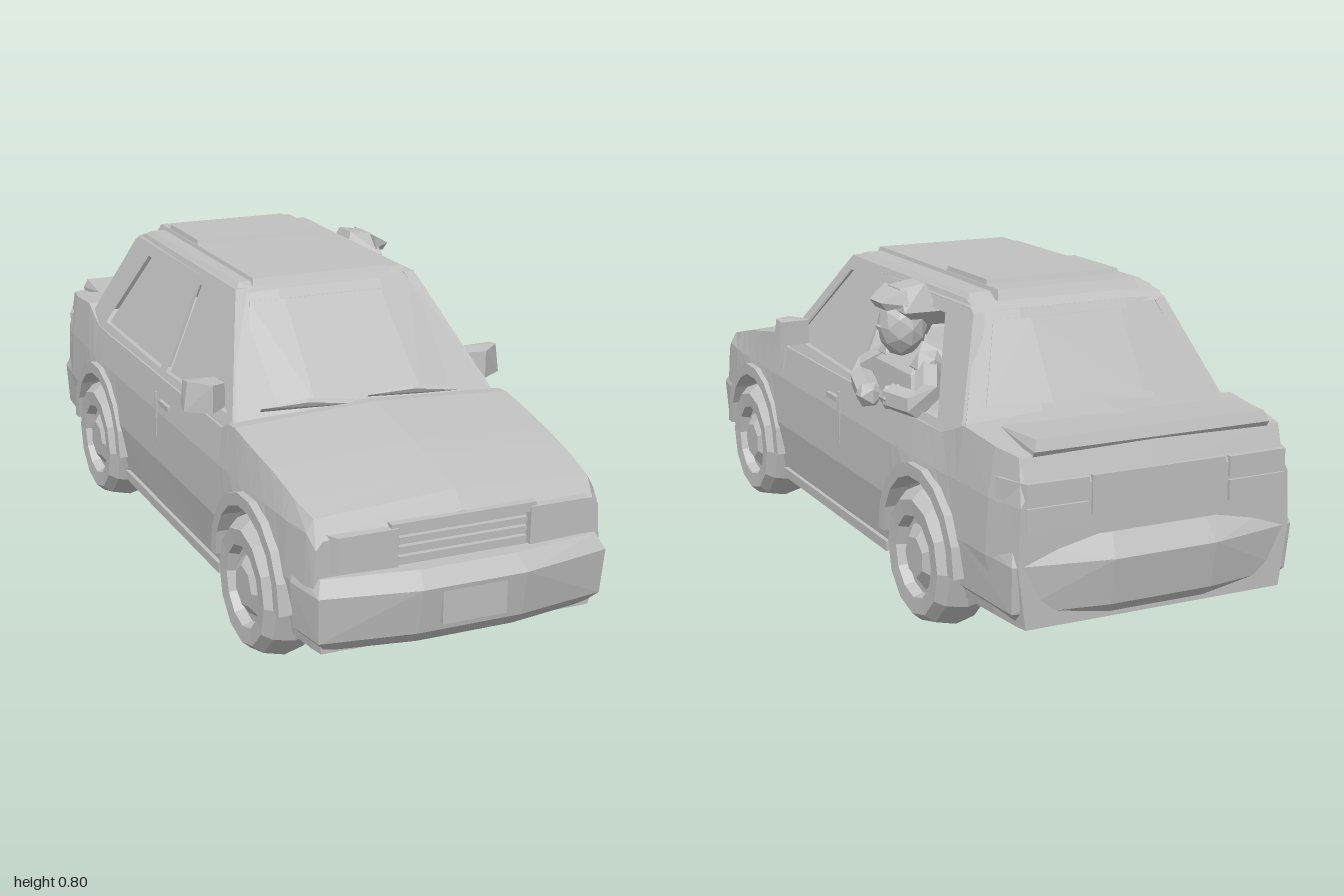
import * as THREE from 'three';
import { ConvexGeometry } from 'three/addons/geometries/ConvexGeometry.js';

const V = (p) => new THREE.Vector3(...p);
const SIDES = [1, -1];

export function createModel() {
  const car = new THREE.Group();
  car.name = 'sedan';
  const grey = new THREE.MeshStandardMaterial({ color: 0xc0c0c0, flatShading: true });
  grey.name = 'plain grey';

  const add = (name, geo, pos = [0, 0, 0], parent = car) => {
    const m = new THREE.Mesh(geo, grey);
    m.name = name;
    m.position.set(...pos);
    parent.add(m);
    return m;
  };
  const box = (name, size, pos) => add(name, new THREE.BoxGeometry(...size), pos);
  const hull = (name, pts, parent) => add(name, new ConvexGeometry(pts.map(V)), [0, 0, 0], parent);
  // Convex part symmetrical about x = 0, given by its +x points
  const symHull = (name, pts) => hull(name, pts.flatMap(([x, y, z]) => [[x, y, z], [-x, y, z]]));
  // Extrudes a (z, y) outline along x, centred on x = 0
  const sideExtrude = (outline, holes, depth) => {
    const path = (pts) => pts.map(([z, y]) => new THREE.Vector2(-z, y));
    const shape = new THREE.Shape(path(outline));
    holes.forEach((h) => shape.holes.push(new THREE.Path(path(h))));
    const g = new THREE.ExtrudeGeometry(shape, { depth, bevelEnabled: false });
    return g.rotateY(Math.PI / 2).translate(-depth / 2, 0, 0);
  };
  const lerpTable = (table, z) => {
    let i = 1;
    while (i < table.length - 1 && z > table[i][0]) i++;
    const [a, b] = [table[i - 1], table[i]];
    return THREE.MathUtils.mapLinear(THREE.MathUtils.clamp(z, a[0], b[0]), a[0], b[0], a[1], b[1]);
  };

  // Lower body: cross-sections along z, the underside rising over the wheels
  const axles = [-0.53, 0.61], axleY = 0.17, archR = 0.19;
  const topLine = [[-0.96, 0.45], [-0.93, 0.525], [-0.7, 0.545], [-0.62, 0.505], [0.39, 0.505],
    [0.45, 0.535], [0.7, 0.495], [0.89, 0.45], [0.925, 0.41]];
  const widthLine = [[-0.96, 0.9], [-0.85, 0.96], [-0.5, 1], [0.55, 1], [0.85, 0.97], [0.925, 0.93]];
  const stations = topLine.map(([z]) => [z, 0.125]);
  stations.push([-0.05, 0.12], [-0.85, 0.13]);
  for (const c of axles) {
    const lo = c - archR - 0.004, hi = c + archR + 0.004;
    for (let i = stations.length - 1; i >= 0; i--) {
      if (stations[i][0] > lo && stations[i][0] < hi) stations.splice(i, 1);
    }
    stations.push([lo, 0.125], [hi, 0.125]);
    for (let k = 0; k <= 8; k++) {
      const a = (k / 8) * Math.PI;
      stations.push([c + archR * Math.cos(a), axleY + archR * Math.sin(a)]);
    }
  }
  stations.sort((a, b) => a[0] - b[0]);
  const rings = stations.map(([z, yb]) => {
    const f = lerpTable(widthLine, z), t = lerpTable(topLine, z);
    const half = [[0.365 * f, yb], [0.387 * f, Math.max(0.27, yb + 0.005)], [0.38 * f, Math.min(0.4, t - 0.04)], [0.362 * f, t - 0.02]];
    const left = half.map(([x, y]) => [-x, y]).reverse();
    return [[0, yb], ...half, [0, t], ...left].map(([x, y]) => [x, y, z]);
  });
  const pos = [], n = rings[0].length;
  for (let i = 0; i < rings.length - 1; i++) {
    for (let j = 0; j < n; j++) {
      const k = (j + 1) % n, a = rings[i], b = rings[i + 1];
      pos.push(...a[j], ...a[k], ...b[k], ...a[j], ...b[k], ...b[j]);
    }
  }
  const last = rings[rings.length - 1];
  for (let j = 1; j < n - 1; j++) {
    pos.push(...last[0], ...last[j], ...last[j + 1], ...rings[0][0], ...rings[0][j + 1], ...rings[0][j]);
  }
  const bodyGeo = new THREE.BufferGeometry();
  bodyGeo.setAttribute('position', new THREE.Float32BufferAttribute(pos, 3));
  bodyGeo.computeVertexNormals();
  add('body', bodyGeo);
  box('floorPan', [0.5, 0.28, 1.78], [0, 0.24, -0.01]);

  // Bumpers
  for (const [name, d, inner, top] of [['frontBumper', 1, 0.84, 0.305], ['rearBumper', -1, 0.72, 0.32]]) {
    symHull(name, [[0.34, 0.13, inner], [0.33, 0.13, 0.92], [0.12, 0.13, 0.955],
      [0.37, 0.16, inner], [0.355, 0.16, 0.945], [0.13, 0.16, 0.98],
      [0.378, 0.27, inner], [0.36, 0.27, 0.955], [0.13, 0.27, 1],
      [0.365, top, inner], [0.345, top, 0.93], [0.12, top, 0.965]].map(([x, y, z]) => [x, y, z * d]));
  }
  box('frontPlate', [0.16, 0.09, 0.03], [0, 0.225, 0.983]);

  // Cabin sides lean inward with height; the left rear window stays open
  const cabinX = (y) => 0.352 - (y - 0.49) * 0.4;
  const lean = (geo, s, offset = 0) => {
    const p = geo.attributes.position;
    for (let i = 0; i < p.count; i++) p.setX(i, p.getX(i) + s * (cabinX(p.getY(i)) - offset));
    geo.computeVertexNormals();
    return geo;
  };
  const sideOutline = [[0.45, 0.48], [0.19, 0.765], [-0.5, 0.765], [-0.555, 0.74], [-0.7, 0.48]];
  const frontWindow = [[0.38, 0.515], [0.175, 0.73], [-0.04, 0.73], [-0.04, 0.5]];
  const rearWindow = [[-0.085, 0.5], [-0.085, 0.725], [-0.42, 0.72], [-0.56, 0.505]];
  for (const s of SIDES) {
    const tag = s > 0 ? 'left' : 'right';
    add(tag + 'CabinFrame', lean(sideExtrude(sideOutline, [frontWindow, rearWindow], 0.03), s, 0.012));
    add(tag + 'FrontGlass', lean(sideExtrude(frontWindow, [], 0.008), s, 0.014));
    if (s < 0) add('rightRearGlass', lean(sideExtrude(rearWindow, [], 0.008), s, 0.014));
  }

  // Roof, sunroof, windscreen and back window
  symHull('roof', [[0.25, 0.75, 0.2], [0.254, 0.75, -0.54], [0.225, 0.775, 0.16], [0.23, 0.775, -0.48],
    [0.23, 0.735, -0.56], [0.2, 0.765, 0.19]]);
  const panel = (name, x0, x1, z0, z1, y) => hull(name, [x0, x1].flatMap((x) => [z0, z1].flatMap((z) =>
    [[x, 0.76, z], [x * 0.96, y, z + (z < (z0 + z1) / 2 ? 0.015 : -0.015)]])));
  panel('roofPanel', -0.2, 0.18, -0.53, 0.19, 0.784);
  panel('sunroof', -0.195, 0.175, -0.46, -0.22, 0.796);
  symHull('windscreen', [[0.345, 0.49, 0.445], [0.15, 0.5, 0.465], [0.245, 0.755, 0.195], [0.14, 0.76, 0.205],
    [0.335, 0.49, 0.42], [0.235, 0.75, 0.175]]);
  symHull('windscreenGlass', [[0.3, 0.53, 0.405], [0.14, 0.535, 0.44], [0.22, 0.738, 0.218], [0.13, 0.74, 0.23],
    [0.3, 0.525, 0.395], [0.22, 0.73, 0.21]]);
  symHull('backWindow', [[0.345, 0.5, -0.695], [0.15, 0.51, -0.71], [0.245, 0.74, -0.55], [0.14, 0.745, -0.56],
    [0.335, 0.5, -0.67], [0.235, 0.74, -0.53]]);
  symHull('backWindowGlass', [[0.28, 0.55, -0.672], [0.12, 0.55, -0.694], [0.21, 0.725, -0.566], [0.12, 0.725, -0.58],
    [0.28, 0.55, -0.66], [0.21, 0.72, -0.555]]);
  for (const x of [-0.16, 0.12]) {
    hull('wiper', [[x - 0.12, 0.525, 0.43], [x - 0.12, 0.535, 0.44], [x, 0.548, 0.44], [x, 0.54, 0.45],
      [x + 0.12, 0.522, 0.45], [x + 0.12, 0.53, 0.44]]);
  }

  // Grille, lamps, trunk details
  box('grilleTop', [0.36, 0.022, 0.03], [0, 0.398, 0.925]);
  for (const y of [0.325, 0.348, 0.37]) box('grilleSlat', [0.32, 0.01, 0.025], [0, y, 0.925]);
  symHull('trunkLip', [[0.3, 0.535, -0.78], [0.3, 0.515, -0.94], [0.29, 0.54, -0.93], [0.3, 0.5, -0.93]]);
  box('rearPanel', [0.34, 0.09, 0.03], [0, 0.41, -0.95]);
  for (const s of SIDES) {
    hull('headlight', [[0.165, 0.31], [0.165, 0.4], [0.31, 0.4], [0.31, 0.315]].flatMap(([x, y]) =>
      [[s * x, y, 0.9], [s * x, y, 0.945]]).concat([[s * 0.35, 0.4, 0.87], [s * 0.35, 0.32, 0.87]]));
    for (const y of [0.375, 0.43]) {
      hull('tailLight', [-0.024, 0.024].flatMap((h) => [[s * 0.18, y + h, -0.93], [s * 0.18, y + h, -0.968],
        [s * 0.33, y + h, -0.965], [s * 0.362, y + h, -0.88]]));
    }
    hull('doorMirror', [[0.33, 0.515, 0.33], [0.33, 0.575, 0.33], [0.34, 0.515, 0.285], [0.34, 0.58, 0.285],
      [0.43, 0.51, 0.315], [0.42, 0.585, 0.315], [0.425, 0.515, 0.28], [0.42, 0.58, 0.28],
      [0.37, 0.51, 0.355], [0.37, 0.58, 0.355]].map(([x, y, z]) => [s * x, y, z]));
    box('rockerStrip', [0.03, 0.025, 0.72], [s * 0.363, 0.128, 0.04]);
    box('doorSeam', [0.006, 0.15, 0.006], [s * 0.382, 0.38, -0.035]);
    box('doorHandle', [0.012, 0.014, 0.07], [s * 0.376, 0.43, 0.02]);

    // Wheels and arch flares
    for (const z of axles) {
      const wheel = new THREE.Group();
      wheel.name = 'wheel';
      wheel.position.set(s * 0.33, axleY, z);
      wheel.rotation.z = -s * Math.PI / 2;
      car.add(wheel);
      const tyre = [[0, -0.07], [0.13, -0.07], [0.16, -0.05], [0.172, 0], [0.16, 0.05], [0.14, 0.073], [0.1, 0.07], [0.092, 0.045], [0, 0.045]];
      add('tyre', new THREE.LatheGeometry(tyre.map(([r, y]) => new THREE.Vector2(r, y)), 12), [0, 0, 0], wheel);
      add('hubCap', new THREE.CylinderGeometry(0.05, 0.085, 0.025, 7), [0, 0.055, 0], wheel);
      const arc = (r, k) => [z + r * Math.cos(k * Math.PI / 9), axleY + 0.01 + r * Math.sin(k * Math.PI / 9)];
      const ks = [...Array(10).keys()];
      const flare = [...ks.map((k) => arc(0.213, k)), ...ks.reverse().map((k) => arc(0.182, k))];
      add('archFlare', sideExtrude(flare, [], 0.05), [s * 0.372, 0, 0]);
    }
  }

  // Passenger leaning out of the left rear window
  const rider = new THREE.Group();
  rider.name = 'passenger';
  car.add(rider);
  hull('torso', [[0.18, 0.48, -0.14], [0.18, 0.48, -0.44], [0.35, 0.48, -0.16], [0.35, 0.48, -0.42],
    [0.22, 0.6, -0.17], [0.22, 0.6, -0.4], [0.34, 0.57, -0.18], [0.34, 0.57, -0.39],
    [0.28, 0.635, -0.24], [0.28, 0.635, -0.33]], rider);
  add('head', new THREE.IcosahedronGeometry(0.07, 1), [0.315, 0.67, -0.285], rider).scale.set(0.85, 1.1, 0.95);
  add('nose', new THREE.ConeGeometry(0.018, 0.04, 4), [0.37, 0.668, -0.285], rider).rotation.z = -1.1;
  hull('cap', [[0.25, 0.64, -0.285], [0.245, 0.71, -0.22], [0.245, 0.71, -0.35], [0.27, 0.775, -0.25],
    [0.27, 0.775, -0.32], [0.335, 0.765, -0.25], [0.335, 0.765, -0.32], [0.345, 0.715, -0.2], [0.345, 0.715, -0.37]], rider);
  hull('capBrim', [[0.33, 0.765, -0.22], [0.33, 0.765, -0.35], [0.385, 0.735, -0.25], [0.385, 0.735, -0.32],
    [0.37, 0.715, -0.25], [0.37, 0.715, -0.32], [0.33, 0.73, -0.21], [0.33, 0.73, -0.36]], rider);
  for (const pts of [[[0.29, 0.585, -0.19], [0.345, 0.525, -0.11], [0.385, 0.495, -0.24]],
    [[0.29, 0.585, -0.38], [0.35, 0.525, -0.49], [0.375, 0.515, -0.36]]]) {
    add('arm', new THREE.TubeGeometry(new THREE.CatmullRomCurve3(pts.map(V)), 5, 0.032, 6), [0, 0, 0], rider);
    add('shoulder', new THREE.IcosahedronGeometry(0.045, 0), pts[0], rider);
    add('hand', new THREE.IcosahedronGeometry(0.034, 0), pts[2], rider);
  }
  return car;
}
